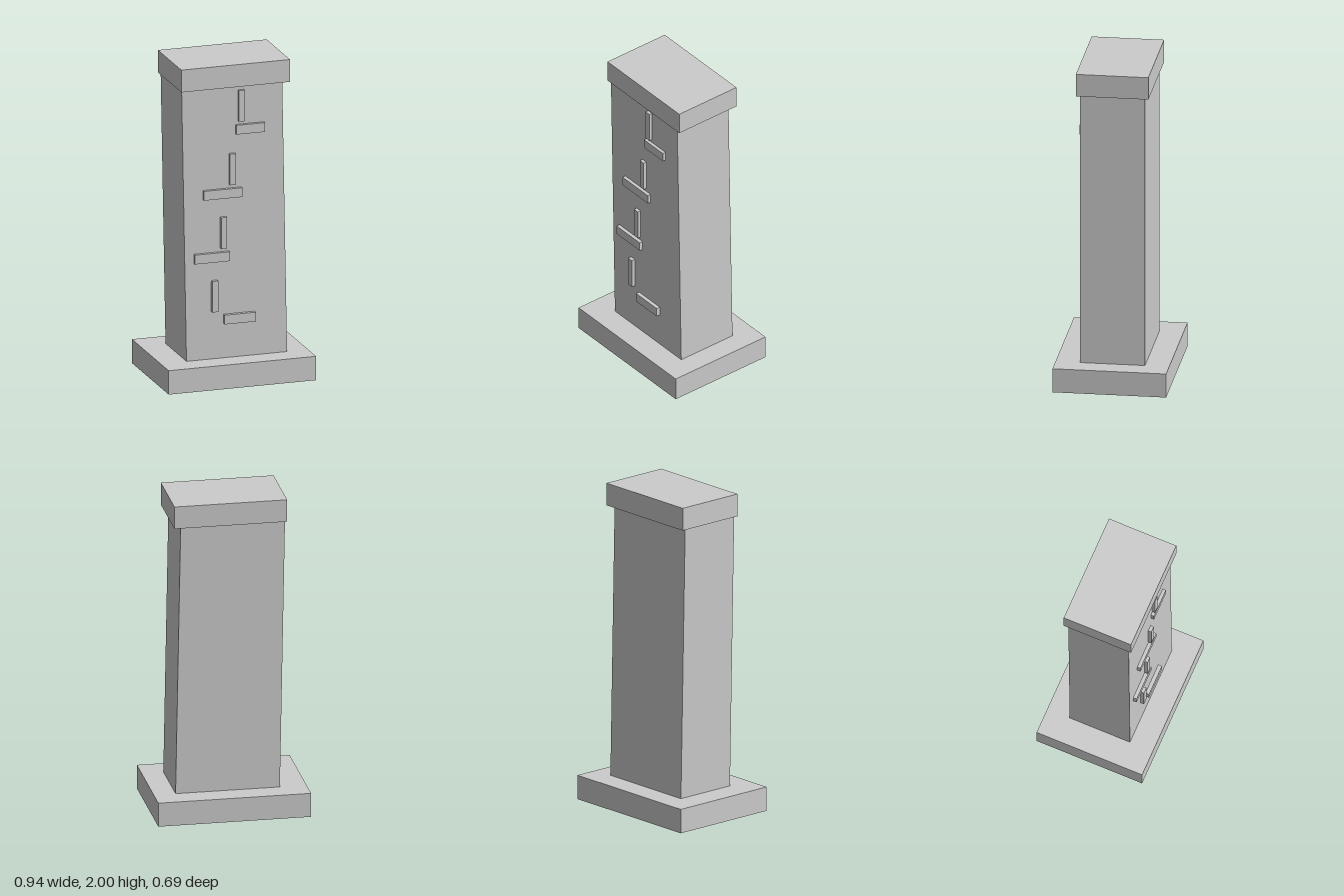
import * as THREE from 'three';

export function createModel() {
  const group = new THREE.Group();
  const material = new THREE.MeshStandardMaterial({ color: 0xcccccc, flatShading: true });

  // box given by its width, height, depth and centre
  function block(name, w, h, d, x, y, z) {
    const mesh = new THREE.Mesh(new THREE.BoxGeometry(w, h, d), material);
    mesh.name = name;
    mesh.position.set(x, y, z);
    group.add(mesh);
    return mesh;
  }

  // wide plinth and cap slab
  block('plinth', 0.935, 0.15, 0.69, 0, 0.085, 0);
  block('cap', 0.69, 0.14, 0.44, 0, 1.93, 0);

  // slightly leaning pillar, its lowest corner touching the ground
  const shaft = block('shaft', 0.638, 1.88, 0.394, 0, 0.947, 0.001);
  shaft.rotation.set(0.003, 0, 0.019);

  // raised strokes on the front: a short upright above each crossbar
  const crossbars = [[0.029, 0.198], [-0.147, 0.223], [-0.079, 0.243], [0.096, 0.182]]; // centre x, width
  crossbars.forEach(([x, width], i) => {
    block('carvedCrossbar', width, 0.058, 0.04, x, 0.405 + i * 0.395, 0.2);
    block('carvedUpright', 0.037, 0.195, 0.04, -0.129 + i * 0.0563, 0.556 + i * 0.394, 0.2);
  });

  return group;
}
